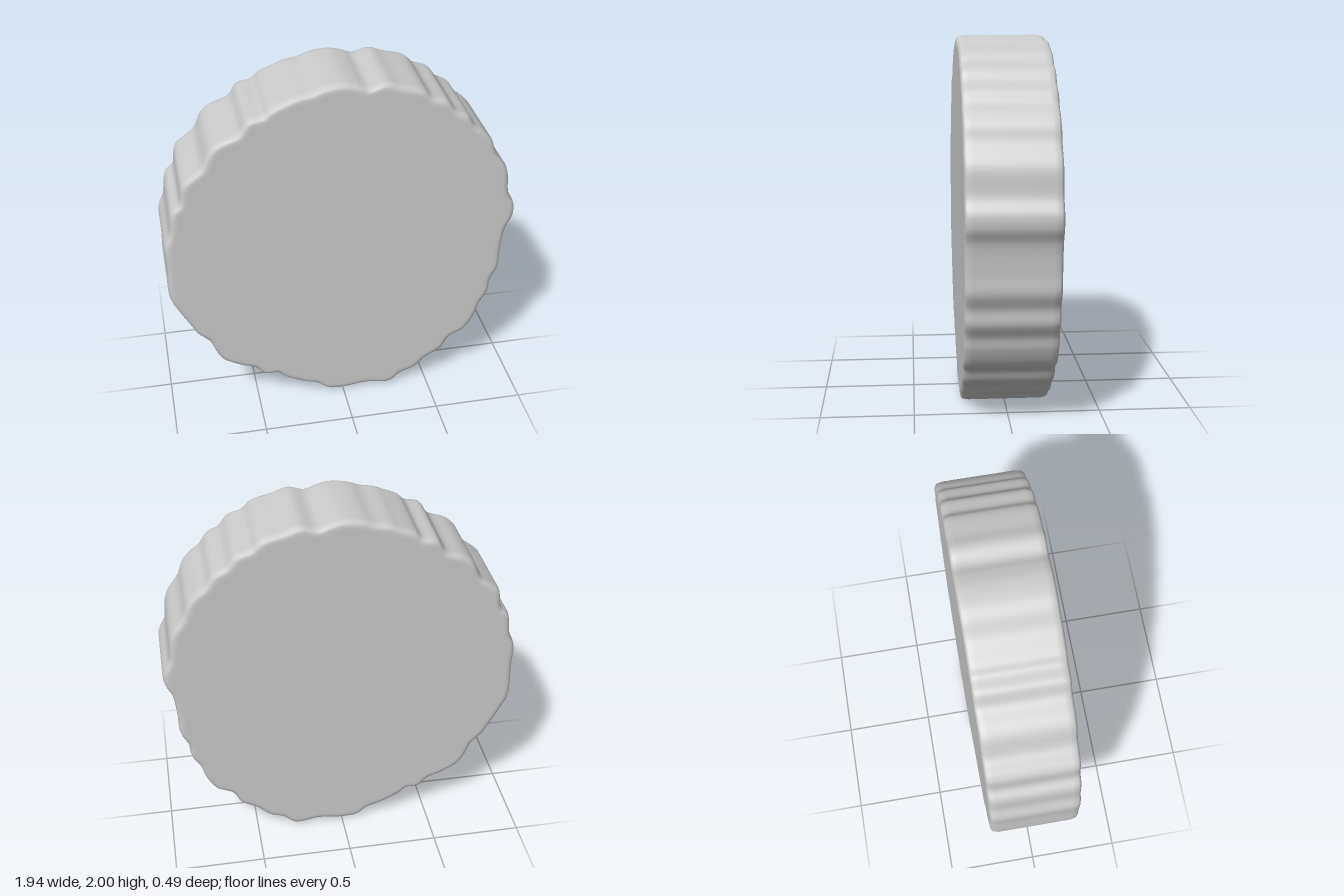
import * as THREE from 'three';

// Rippled rim, clockwise from the top: x, y pairs
const RIM = [
  0, 2, .07, 1.985, .13, 1.965, .22, 1.985, .3, 1.96, .42, 1.925, .47, 1.88, .55, 1.85,
  .6, 1.79, .67, 1.75, .71, 1.69, .76, 1.65, .81, 1.59, .84, 1.51, .91, 1.4, .93, 1.25,
  .967, 1.17, .965, 1.1, .93, 1.02, .91, .87, .905, .76, .865, .67, .855, .59, .81, .51,
  .79, .44, .73, .34, .64, .29, .59, .21, .5, .155, .43, .09, .35, .06, .28, .006,
  .14, .02, 0, .005, -.09, .015, -.15, .06, -.24, .09, -.34, .14, -.39, .18, -.46, .185,
  -.52, .24, -.6, .27, -.7, .33, -.74, .4, -.77, .47, -.83, .53, -.87, .6, -.93, .71,
  -.965, .79, -.967, 1, -.97, 1.13, -.94, 1.21, -.92, 1.34, -.875, 1.39, -.855, 1.5, -.8, 1.55,
  -.75, 1.59, -.7, 1.69, -.65, 1.73, -.55, 1.77, -.5, 1.84, -.42, 1.86, -.38, 1.895,
  -.3, 1.93, -.25, 1.95, -.17, 1.965, -.1, 1.99,
];

// Cross-section from the back centre, round the soft edges, to the front centre: scale, z
const EDGE = [[0, .245], [.95, .245], [.968, .245], [.984, .241], [.994, .23], [1, .2]];
const SECTION = [
  ...EDGE.map(([s, z]) => [s, -z]),
  ...EDGE.slice().reverse(),
];

function discGeometry() {
  const knots = [];
  for (let i = 0; i < RIM.length; i += 2) knots.push(new THREE.Vector3(RIM[i], RIM[i + 1], 0));
  const steps = knots.length * 6;
  const curve = new THREE.CatmullRomCurve3(knots, true, 'centripetal');
  const rim = curve.getPoints(steps).slice(0, steps);

  const positions = [], index = [];
  SECTION.forEach(([s, z], j) => {
    rim.forEach((p, i) => {
      positions.push(p.x * s, 1 + (p.y - 1) * s, z);
      if (j === SECTION.length - 1) return;
      const a = j * steps + i, c = j * steps + (i + 1) % steps;
      const b = a + steps, d = c + steps;
      // The centre rings are single points, so they need one triangle per step
      if (j > 0) index.push(a, b, c);
      if (j < SECTION.length - 2) index.push(c, b, d);
    });
  });
  const geometry = new THREE.BufferGeometry();
  geometry.setAttribute('position', new THREE.Float32BufferAttribute(positions, 3));
  geometry.setIndex(index);
  geometry.computeVertexNormals();
  return geometry;
}

export function createModel() {
  const model = new THREE.Group();
  model.name = 'rippledDisc';
  const disc = new THREE.Mesh(discGeometry(), new THREE.MeshStandardMaterial({ color: 0xcccccc }));
  disc.name = 'disc';
  model.add(disc);
  return model;
}
